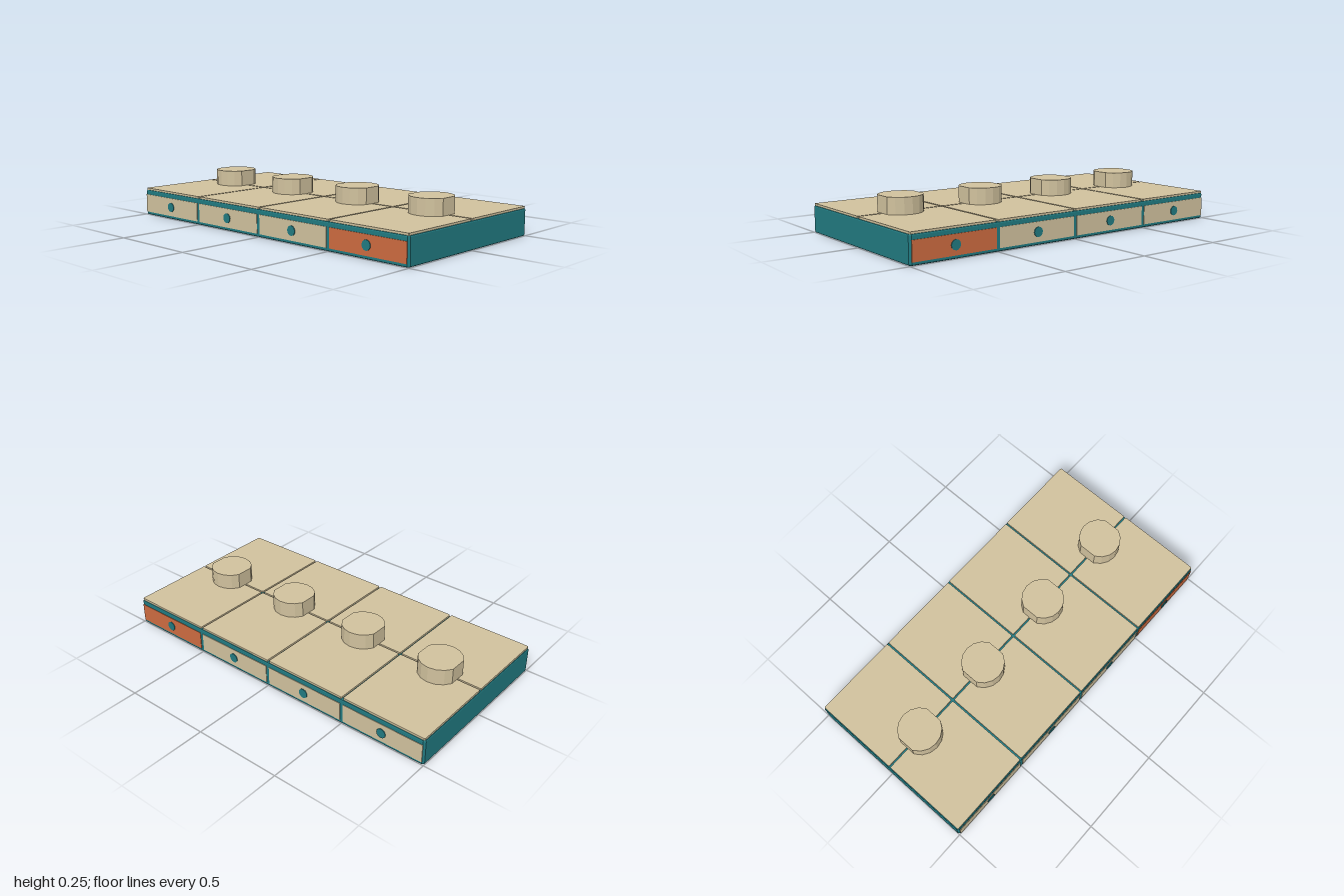
import * as THREE from 'three';

const teal = new THREE.MeshStandardMaterial({ color: 0x217a81 });
const tan = new THREE.MeshStandardMaterial({ color: 0xd0c19d });
const orange = new THREE.MeshStandardMaterial({ color: 0xcd6b40 });

const BEVEL = 0.008;
const BODY_TOP = 0.15;
const COLUMNS = [-0.75, -0.25, 0.25, 0.75];

// Rectangle with clipped corners, centred on the origin
function clippedRect(w, h, c) {
  const x = w / 2, y = h / 2;
  return [[-x + c, -y], [x - c, -y], [x, -y + c], [x, y - c], [x - c, y], [-x + c, y], [-x, y - c], [-x, -y + c]]
    .map(([a, b]) => new THREE.Vector2(a, b));
}

// Circle with a flat cut on each x side
function flattedCircle(cx, radius, flat) {
  const points = [];
  const start = Math.acos(flat / radius);
  const steps = 6;
  for (const base of [0, Math.PI]) {
    for (let i = 0; i <= steps; i++) {
      const a = base + start + (Math.PI - 2 * start) * i / steps;
      points.push(new THREE.Vector2(cx + Math.cos(a) * radius, Math.sin(a) * radius));
    }
  }
  return points;
}

// Upright extrusion of a plan outline between two heights
function extrudeUp(shape, bottom, top, bevel = 0) {
  const geo = new THREE.ExtrudeGeometry(shape, {
    depth: top - bottom - 2 * bevel, bevelEnabled: bevel > 0,
    bevelSize: bevel, bevelThickness: bevel, bevelSegments: 2,
  });
  geo.rotateX(-Math.PI / 2);
  geo.translate(0, bottom + bevel, 0);
  return geo;
}

function add(parent, name, geo, material, x = 0, y = 0, z = 0) {
  const mesh = new THREE.Mesh(geo, material);
  mesh.name = name;
  mesh.position.set(x, y, z);
  parent.add(mesh);
  return mesh;
}

export function createModel() {
  const model = new THREE.Group();
  model.name = 'studdedSlab';

  // Bevelled body with sockets underneath
  const outline = new THREE.Shape(clippedRect(2 - 2 * BEVEL, 1 - 2 * BEVEL, 0.006));
  for (const x of COLUMNS) outline.holes.push(new THREE.Path(flattedCircle(x, 0.13, 0.118)));
  add(model, 'body', extrudeUp(outline, 0, BODY_TOP, BEVEL), teal);

  const studGeo = extrudeUp(new THREE.Shape(flattedCircle(0, 0.119, 0.108)), 0.14, 0.25);
  const socketGeo = extrudeUp(new THREE.Shape(flattedCircle(0, 0.13, 0.118)), 0.095, 0.149);
  const tileGeo = extrudeUp(new THREE.Shape(clippedRect(0.49, 0.49, 0.004)), 0.14, 0.16);
  const panelGeo = new THREE.BoxGeometry(0.48, 0.105, 0.02);
  const buttonGeo = new THREE.CylinderGeometry(0.027, 0.027, 0.02, 12).rotateX(Math.PI / 2);

  for (const x of COLUMNS) {
    // Stud above, socket ceiling below
    add(model, 'stud', studGeo, tan, x);
    add(model, 'socketCeiling', socketGeo, teal, x);

    // Tiles, side panels and round buttons, mirrored front to back
    for (const side of [1, -1]) {
      add(model, 'topTile', tileGeo, tan, x, 0, side * 0.25);
      add(model, 'sidePanel', panelGeo, x === 0.75 ? orange : tan, x, 0.07, side * 0.493);
      add(model, 'button', buttonGeo, teal, x, 0.07, side * 0.497);
    }
  }
  return model;
}
